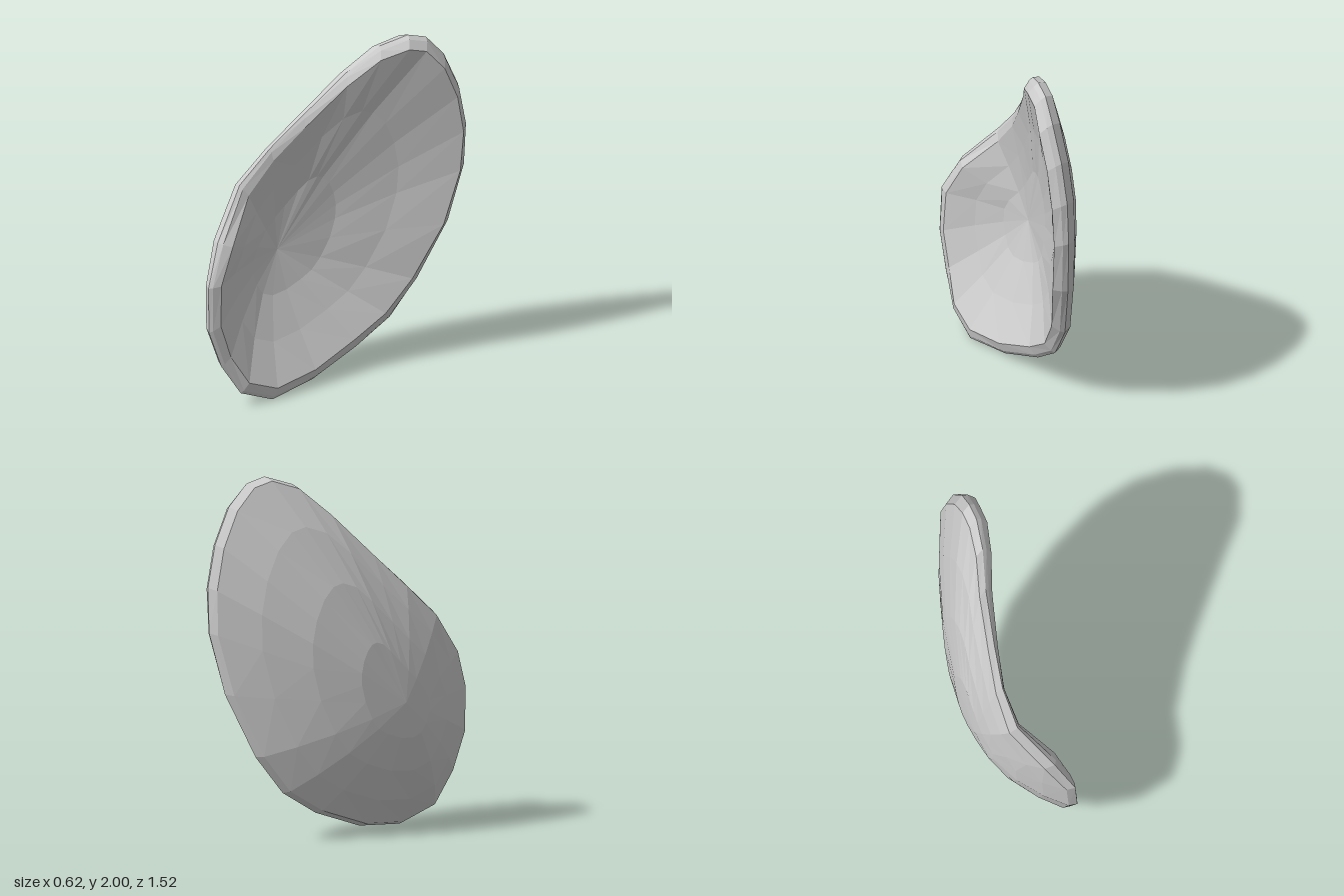
import * as THREE from 'three';

// Rim of the cupped plate, walked once around: [z, y, x of outline, x of inner lip]
const RIM = [
  [-0.42, 2.0, 0.18, 0.23], [-0.28, 1.95, 0.11, 0.15], [-0.13, 1.8, 0.01, 0.04],
  [0.08, 1.57, -0.1, -0.08], [0.25, 1.39, -0.18, -0.16], [0.43, 1.21, -0.22, -0.185],
  [0.65, 0.96, -0.14, -0.09], [0.76, 0.74, -0.085, -0.06], [0.765, 0.48, -0.075, -0.05],
  [0.69, 0.26, -0.06, -0.04], [0.58, 0.08, -0.03, 0.0], [0.39, 0.0, 0.01, 0.03],
  [0.1, 0.03, 0.0, 0.035], [-0.2, 0.14, 0.01, 0.04], [-0.4, 0.27, 0.05, 0.08],
  [-0.55, 0.48, 0.1, 0.14], [-0.69, 0.83, 0.19, 0.24], [-0.76, 1.17, 0.24, 0.29],
  [-0.76, 1.42, 0.25, 0.31], [-0.71, 1.65, 0.25, 0.31], [-0.62, 1.85, 0.24, 0.3],
  [-0.52, 1.97, 0.21, 0.26],
];
const CENTRE = { z: 0.17, y: 0.75 };
const HOLLOW = { inset: 0.07, x: -0.215, slope: -0.15, power: 1.5 };  // concave side
const DOME = { inset: 0.02, x: -0.31, slope: -0.15, power: 2 };       // convex side

// Point on the line from the centre to a rim point, a given distance inside the rim
function inside([z, y], inset, x, s = 1) {
  const dz = z - CENTRE.z, dy = y - CENTRE.y;
  const t = s * (1 - inset / Math.hypot(dz, dy));
  return [x, CENTRE.y + dy * t, CENTRE.z + dz * t];
}

// Tilted bowl: a linear slope at the centre, curving up to the rim with a power of s
function bowl(side, r, edgeX, s) {
  const p = inside(r, side.inset, 0, s);
  const edgeZ = inside(r, side.inset, 0)[2];
  const rise = edgeX - side.x - side.slope * (edgeZ - CENTRE.z);
  p[0] = side.x + side.slope * (p[2] - CENTRE.z) + rise * s ** side.power;
  return p;
}

// The outer bevel is deeper where the lip stands higher
const backEdge = (r) => r[2] - 0.035 - 0.4 * (r[3] - r[2]);

function shellGeometry() {
  // Rings from the hollow centre, over the bevelled rim, to the centre of the dome
  const rings = [
    ...[0, 0.35, 0.68, 1].map((s) => RIM.map((r) => bowl(HOLLOW, r, r[3], s))),
    RIM.map((r) => inside(r, 0.02, r[3] + (r[2] - r[3]) * 0.5)),
    RIM.map((r) => inside(r, 0, r[2])),
    ...[1, 0.8, 0.55, 0.28, 0].map((s) => RIM.map((r) => bowl(DOME, r, backEdge(r), s))),
  ];
  const n = RIM.length;
  const index = [];
  for (let i = 0; i < rings.length - 1; i++) {
    for (let k = 0; k < n; k++) {
      const a = i * n + k, d = i * n + ((k + 1) % n);
      const b = a + n, c = d + n;
      if (i < rings.length - 2) index.push(a, b, c);
      if (i > 0) index.push(a, c, d);
    }
  }
  const g = new THREE.BufferGeometry();
  g.setAttribute('position', new THREE.Float32BufferAttribute(rings.flat(2), 3));
  g.setIndex(index);
  const flat = g.toNonIndexed();
  flat.computeVertexNormals();
  return flat;
}

export function createModel() {
  const grey = new THREE.MeshStandardMaterial({ color: 0xcccccc, flatShading: true });
  grey.name = 'light grey';

  const group = new THREE.Group();
  group.name = 'cuppedPlate';
  const shell = new THREE.Mesh(shellGeometry(), grey);
  shell.name = 'shell';
  group.add(shell);
  return group;
}
